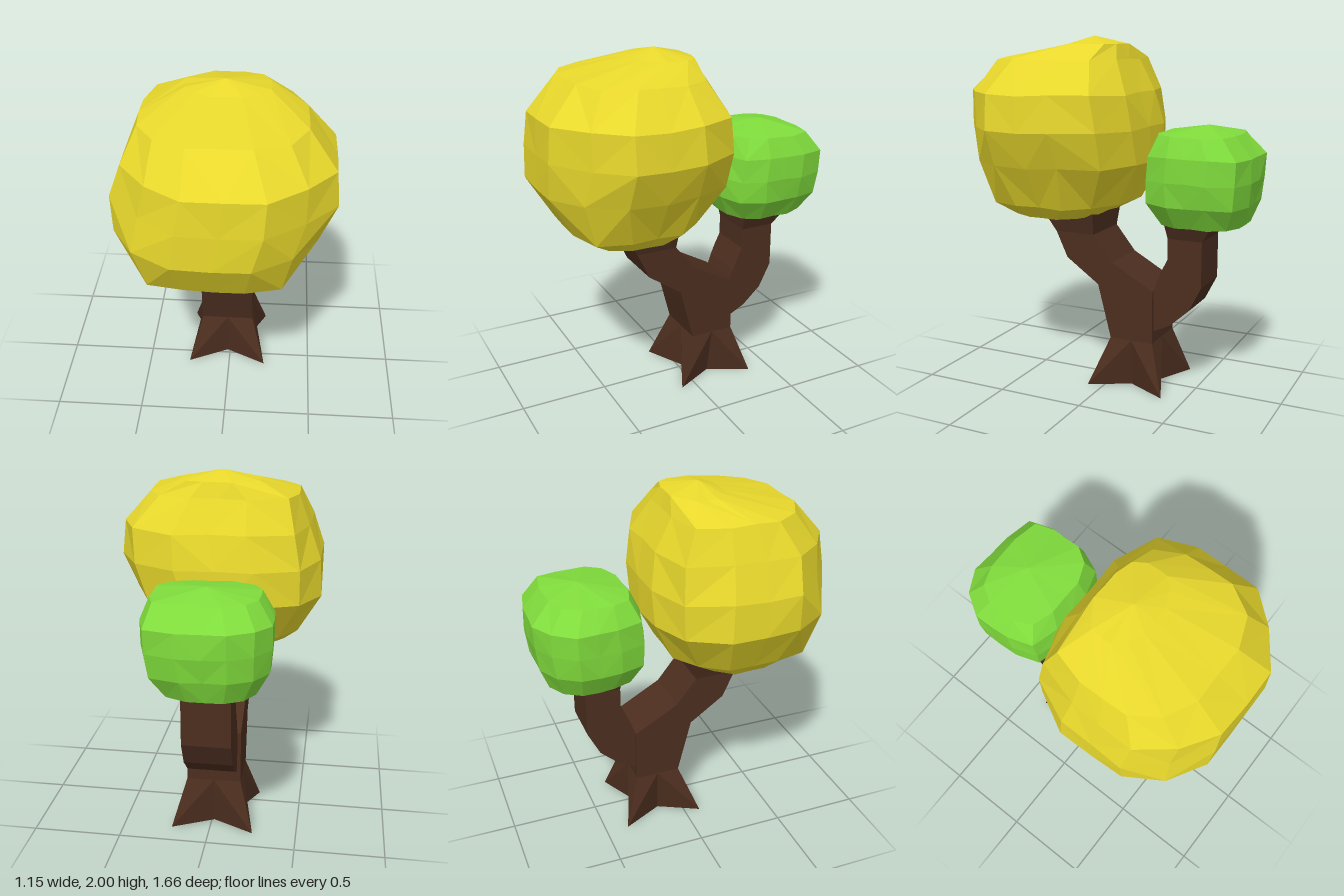
import * as THREE from 'three';

// Skins a stack of equal-length point loops (counter-clockwise from above) and caps both ends.
function loft(name, loops, color) {
  const pos = [];
  const tri = (...pts) => pts.forEach((p) => pos.push(p[0], p[1], p[2]));
  const centre = (loop) => [0, 1, 2].map((k) => loop.reduce((s, p) => s + p[k], 0) / loop.length);
  const n = loops[0].length;
  const last = loops[loops.length - 1];
  const bottom = centre(loops[0]);
  const top = centre(last);
  for (let i = 0; i < n; i++) {
    const j = (i + 1) % n;
    for (let r = 0; r + 1 < loops.length; r++) {
      const a = loops[r], b = loops[r + 1];
      // Diagonals alternate so every side stays symmetric
      if (i % 2 === 0) {
        tri(a[i], a[j], b[j]);
        tri(a[i], b[j], b[i]);
      } else {
        tri(a[i], a[j], b[i]);
        tri(a[j], b[j], b[i]);
      }
    }
    tri(bottom, loops[0][j], loops[0][i]);
    tri(top, last[i], last[j]);
  }
  const geo = new THREE.BufferGeometry();
  geo.setAttribute('position', new THREE.Float32BufferAttribute(pos, 3));
  geo.computeVertexNormals();
  const mesh = new THREE.Mesh(geo, new THREE.MeshStandardMaterial({ color, flatShading: true }));
  mesh.name = name;
  return mesh;
}

// Square wood section: front edge (yF, zF), back edge (yB, zB), side faces x0..x1.
// inset pulls the middle of every side inwards, giving a four-pointed star.
function woodLoop([yF, zF, yB, zB, x0, x1, inset = 0]) {
  const corners = [[x1, yF, zF], [x1, yB, zB], [x0, yB, zB], [x0, yF, zF]];
  const c = [(x0 + x1) / 2, (yF + yB) / 2, (zF + zB) / 2];
  return corners.flatMap((p, i) => {
    const q = corners[(i + 1) % 4];
    const mid = p.map((v, k) => THREE.MathUtils.lerp((v + q[k]) / 2, c[k], inset));
    return [p, mid];
  });
}

// Rounded-square leaf section within x0..x1 and z0..z1, slightly uneven.
// The last four values set how square each corner is: back +x, back -x, front -x, front +x.
function leafLoop([y, x0, x1, z0, z1, br, bl, fl, fr], rand) {
  const s = 0.38;
  const outline = [
    [1, 0], [1, -s], [br, -br], [s, -1], [0, -1], [-s, -1], [-bl, -bl], [-1, -s],
    [-1, 0], [-1, s], [-fl, fl], [-s, 1], [0, 1], [s, 1], [fr, fr], [1, s],
  ];
  const rough = 0.014 * (x1 - x0);
  const wobble = () => (rand() - 0.5) * rough;
  return outline.map(([u, v]) => [
    (x0 + x1) / 2 + (u * (x1 - x0)) / 2 + wobble(),
    y + wobble(),
    (z0 + z1) / 2 + (v * (z1 - z0)) / 2 + wobble(),
  ]);
}

function leafMass(name, levels, color, seed) {
  const rand = () => (seed = (seed * 16807) % 2147483647) / 2147483647;
  return loft(name, levels.map((level) => leafLoop(level, rand)), color);
}

export function createModel() {
  const tree = new THREE.Group();
  tree.name = 'tree';
  const brown = 0x4c2e1f;

  // Star-footed trunk bending into the front limb
  const trunk = [
    [0, 0.09, 0, -0.37, -0.25, 0.22, 0.5],
    [0.28, -0.02, 0.28, -0.28, -0.17, 0.14],
    [0.59, 0.06, 0.59, -0.28, -0.17, 0.14],
    [0.73, 0.26, 0.73, -0.03, -0.17, 0.14],
    [0.88, 0.33, 0.88, 0.09, -0.17, 0.14],
    [1.0, 0.4, 1.0, 0.08, -0.2, 0.17],
    [1.12, 0.42, 1.12, 0.08, -0.2, 0.17],
  ];
  tree.add(loft('trunk', trunk.map(woodLoop), brown));

  // Back limb curving out and up
  const limb = [
    [0.55, -0.2, 0.33, -0.2, -0.13, 0.1],
    [0.59, -0.28, 0.35, -0.28, -0.15, 0.12],
    [0.65, -0.3, 0.4, -0.38, -0.15, 0.12],
    [0.72, -0.33, 0.5, -0.49, -0.15, 0.12],
    [0.78, -0.36, 0.64, -0.56, -0.15, 0.12],
    [0.9, -0.36, 0.9, -0.56, -0.15, 0.12],
    [1.0, -0.35, 1.0, -0.63, -0.19, 0.16],
    [1.1, -0.35, 1.1, -0.63, -0.19, 0.16],
  ];
  tree.add(loft('backLimb', limb.map(woodLoop), brown));

  // Large crown: y, x range, z range, four corners per level
  tree.add(leafMass('largeCrown', [
    [0.93, -0.03, -0.03, 0.43, 0.43, 1, 1, 1, 1],
    [0.98, -0.36, 0.29, 0.1, 0.57, 0.78, 0.78, 0.84, 0.82],
    [1.06, -0.44, 0.37, -0.06, 0.69, 0.76, 0.76, 0.87, 0.84],
    [1.3, -0.57, 0.49, -0.19, 0.83, 0.8, 0.8, 0.75, 0.75],
    [1.5, -0.57, 0.57, -0.19, 0.83, 0.81, 0.82, 0.72, 0.71],
    [1.69, -0.5, 0.56, -0.15, 0.82, 0.82, 0.86, 0.74, 0.72],
    [1.87, -0.43, 0.41, -0.06, 0.65, 0.8, 0.88, 0.76, 0.8],
    [1.95, -0.22, 0.22, -0.03, 0.27, 0.8, 0.7, 0.75, 0.75],
    [1.995, -0.01, -0.01, 0.15, 0.15, 1, 1, 1, 1],
  ], 0xe8d82c, 71));

  // Small crown on the back limb
  tree.add(leafMass('smallCrown', [
    [0.985, -0.28, 0.2, -0.75, -0.29, 0.84, 0.78, 0.82, 0.8],
    [1.11, -0.35, 0.28, -0.8, -0.23, 0.86, 0.77, 0.85, 0.84],
    [1.24, -0.36, 0.3, -0.82, -0.22, 0.87, 0.78, 0.85, 0.82],
    [1.37, -0.36, 0.3, -0.82, -0.24, 0.87, 0.78, 0.85, 0.82],
    [1.48, -0.29, 0.26, -0.72, -0.29, 0.88, 0.8, 0.84, 0.8],
    [1.525, -0.02, -0.02, -0.54, -0.54, 1, 1, 1, 1],
  ], 0x80dc3c, 19));

  return tree;
}
